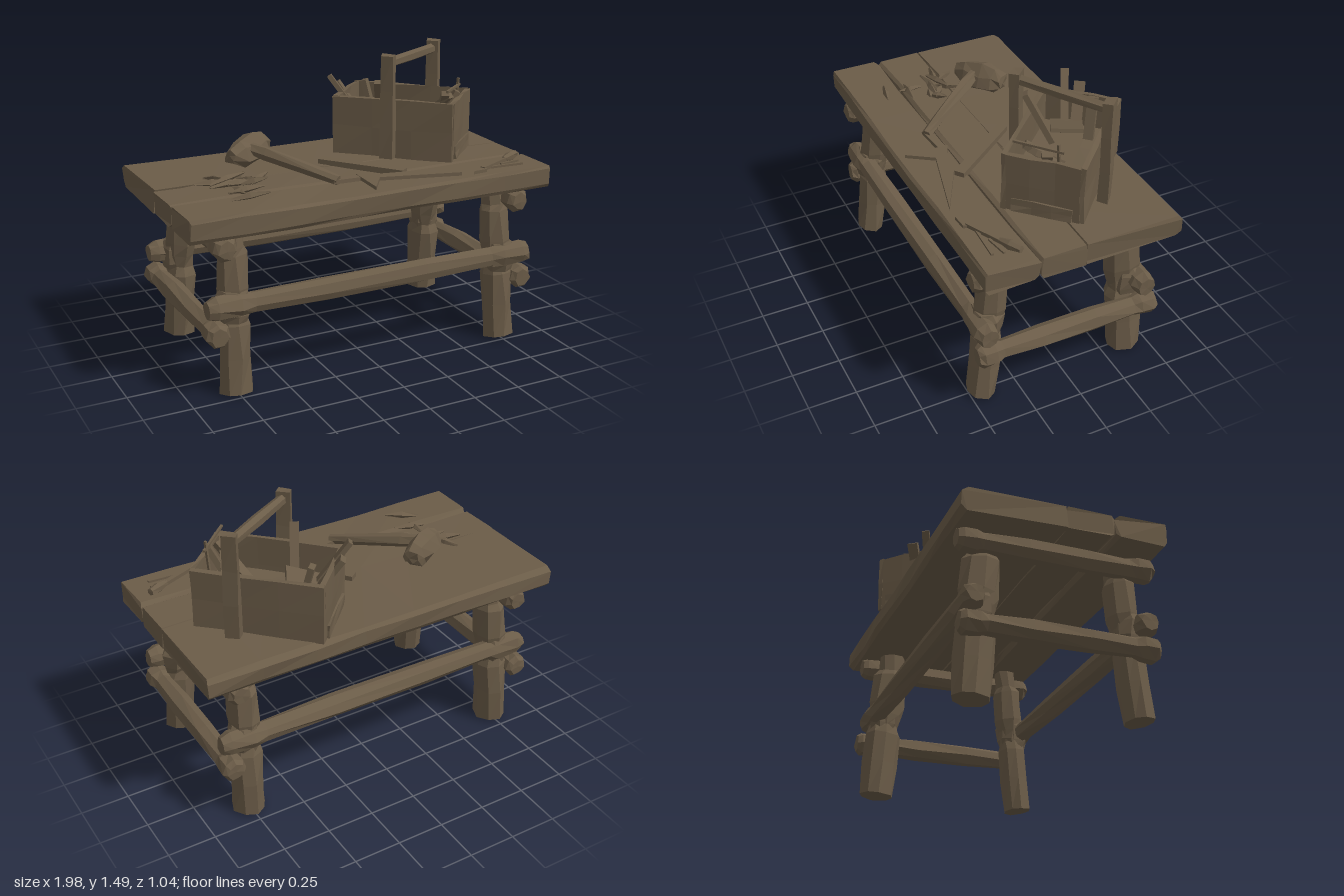
import * as THREE from 'three';

const wood = new THREE.MeshStandardMaterial({ color: 0x6b5c48, flatShading: true });
wood.name = 'weathered wood';

// Position-based noise in -0.5..0.5, so coincident corners move together
function noise(x, y, z, k) {
  const r = (v) => Math.round(v * 500) / 500 + 0.0001;
  const s = Math.sin(r(x) * 12.9898 + r(y) * 78.233 + r(z) * 37.719 + k * 4.7) * 43758.5453;
  return s - Math.floor(s) - 0.5;
}

function roughen(geo, ax, ay, az) {
  const p = geo.attributes.position;
  for (let i = 0; i < p.count; i++) {
    const x = p.getX(i), y = p.getY(i), z = p.getZ(i);
    p.setXYZ(i, x + ax * noise(x, y, z, 1), y + ay * noise(x, y, z, 2), z + az * noise(x, y, z, 3));
  }
  geo.computeVertexNormals();
  return geo;
}

export function createModel() {
  const model = new THREE.Group();
  model.name = 'workbench';

  const add = (name, geo, parent = model) => {
    const m = new THREE.Mesh(geo, wood);
    m.name = name;
    parent.add(m);
    return m;
  };

  // Place a geometry whose length runs along y between two points
  const between = (name, geo, a, b, parent) => {
    const A = new THREE.Vector3(...a), B = new THREE.Vector3(...b);
    const m = add(name, geo, parent);
    m.position.copy(A).add(B).multiplyScalar(0.5);
    m.quaternion.setFromUnitVectors(new THREE.Vector3(0, 1, 0), B.sub(A).normalize());
    return m;
  };
  const dist = (a, b) => Math.hypot(a[0] - b[0], a[1] - b[1], a[2] - b[2]);

  // Hewn log: rings [t, radius] from a to b
  const log = (name, a, b, rings, sides = 8, rough = 0.012, parent = model) => {
    const len = dist(a, b);
    const geo = new THREE.CylinderGeometry(1, 1, 1, sides, rings.length - 1);
    const p = geo.attributes.position;
    for (let i = 0; i < p.count; i++) {
      const ring = rings[Math.round((p.getY(i) + 0.5) * (rings.length - 1))];
      p.setXYZ(i, p.getX(i) * ring[1], (ring[0] - 0.5) * len, p.getZ(i) * ring[1]);
    }
    return between(name, roughen(geo, rough, rough * 0.5, rough), a, b, parent);
  };

  // Straight square stick
  const stick = (name, a, b, w, d = w, parent = model) => {
    const m = add(name, new THREE.BoxGeometry(w, d, dist(a, b)), parent);
    m.position.set((a[0] + b[0]) / 2, (a[1] + b[1]) / 2, (a[2] + b[2]) / 2);
    m.lookAt(...b);
    return m;
  };

  // Flat cut-out lying on the table, outline given as x, z
  const flat = (name, pts, y, h) => {
    const shape = new THREE.Shape(pts.map(([x, z]) => new THREE.Vector2(x, -z)));
    const geo = new THREE.ExtrudeGeometry(shape, { depth: h, bevelEnabled: false });
    geo.rotateX(-Math.PI / 2).translate(0, y, 0);
    return add(name, geo);
  };

  // Table top: three worn planks
  [[-0.51, 0.0], [0.0, 0.236], [0.243, 0.515]].forEach(([z0, z1], i) => {
    const c0 = i === 1 ? 0.004 : 0.022, c1 = i === 0 ? 0.004 : 0.014;
    const s = new THREE.Shape([
      [-z1, 0.83], [-z1 + c1, 0.812], [-z0 - c0, 0.812], [-z0, 0.835],
      [-z0, 0.905], [-z0 - c0, 0.926], [-z1 + c1, 0.926], [-z1, 0.912],
    ].map((q) => new THREE.Vector2(...q)));
    const geo = new THREE.ExtrudeGeometry(s, { depth: 1.97, steps: 7, bevelEnabled: false });
    geo.translate(0, 0, -0.985).rotateY(Math.PI / 2);
    add('tablePlank', roughen(geo, 0.014, 0.008, 0.012));
  });

  // Legs, joint lashings and cross rails on both ends
  const legRings = [[0, 0.08], [0.22, 0.083], [0.42, 0.082], [0.48, 0.066], [0.56, 0.07],
    [0.64, 0.082], [0.84, 0.079], [0.88, 0.064], [1, 0.06]];
  const railRings = [[0, 0.045], [0.025, 0.062], [0.09, 0.062], [0.13, 0.052], [0.35, 0.058],
    [0.65, 0.059], [0.87, 0.052], [0.91, 0.062], [0.975, 0.062], [1, 0.045]];
  for (const side of [-1, 1]) {
    const leg = (name, zFoot, zTop, depth) => {
      const m = log(name, [side * 0.755, 0, zFoot], [side * 0.735, 0.82, zTop], legRings, 8, 0.014);
      m.scale.z = depth;
    };
    leg('frontLeg', 0.435, 0.355, 0.95);
    leg('backLeg', -0.385, -0.325, 1.18);
    for (const z of [0.405, -0.37]) {
      log('lashing', [side * 0.755, 0.37, z], [side * 0.75, 0.52, z],
        [[0, 0.07], [0.25, 0.088], [0.75, 0.085], [1, 0.068]], 7, 0.02);
    }
    log('lowerEndRail', [side * 0.855, 0.325, 0.5], [side * 0.855, 0.325, -0.48], railRings, 7, 0.01);
    log('upperEndRail', [side * 0.81, 0.757, 0.51], [side * 0.81, 0.757, -0.48], railRings, 7, 0.01);
  }
  log('frontRail', [-0.9, 0.455, 0.45], [0.9, 0.455, 0.45], railRings, 8, 0.012);
  log('backRail', [-0.9, 0.455, -0.41], [0.9, 0.455, -0.41], railRings, 8, 0.012);

  // Tool box, turned on the table
  const box = new THREE.Group();
  box.name = 'toolBox';
  box.position.set(0.472, 0.925, -0.143);
  box.rotation.y = -Math.PI / 4;
  model.add(box);
  const wall = (name, w, h, d, x, y, z) => {
    const geo = new THREE.BoxGeometry(w, h, d, w > 0.1 ? 3 : 1, 2, d > 0.1 ? 3 : 1);
    geo.translate(x, y, z);
    add(name, roughen(geo, 0.008, 0.008, 0.008), box);
  };
  for (const s of [-1, 1]) {
    wall('boxLongWall', 0.65, 0.31, 0.025, 0, 0.155, s * 0.19);
    wall('boxEndWall', 0.025, 0.31, 0.36, s * 0.315, 0.155, 0);
    wall('boxEndSkirt', 0.02, 0.07, 0.3, s * 0.328, 0.04, 0);
  }
  wall('boxFloor', 0.62, 0.02, 0.37, 0, 0.12, 0);

  // Carrying handle
  for (const [x, z] of [[0.293, 0.018], [0.718, -0.243]]) {
    const geo = new THREE.BoxGeometry(0.07, 0.55, 0.05, 1, 3, 1);
    const post = add('handlePost', roughen(geo, 0.008, 0.01, 0.008));
    post.position.set(x, 1.205, z);
    post.rotation.y = -Math.PI / 4;
  }
  log('handleBar', [0.29, 1.44, 0.02], [0.72, 1.435, -0.245],
    [[0, 0.026], [0.5, 0.029], [1, 0.026]], 6, 0.004);

  // Loose tools and offcuts inside the box
  stick('offcut', [0.3, 1.06, -0.25], [0.13, 1.32, -0.335], 0.04, 0.025);
  stick('offcut', [0.32, 1.06, -0.3], [0.2, 1.27, -0.385], 0.055, 0.03);
  stick('offcut', [0.34, 1.06, -0.16], [0.27, 1.33, -0.04], 0.045, 0.03);
  stick('offcut', [0.4, 1.06, -0.33], [0.36, 1.27, -0.37], 0.05, 0.03);
  stick('board', [0.26, 1.1, -0.28], [0.41, 1.15, -0.2], 0.16, 0.02);
  stick('offcut', [0.53, 1.07, -0.1], [0.62, 1.25, 0.1], 0.05, 0.03);
  stick('offcut', [0.68, 1.08, -0.1], [0.58, 1.27, 0.12], 0.04, 0.03);
  stick('offcut', [0.6, 1.06, 0.02], [0.69, 1.26, 0.06], 0.05, 0.03);
  stick('thinTool', [0.56, 1.29, 0.17], [0.74, 1.28, 0.0], 0.012);
  stick('thinTool', [0.71, 1.08, 0.0], [0.72, 1.32, 0.02], 0.012);

  // Mallet resting on its head
  log('malletHead', [-0.56, 1.02, -0.06], [-0.31, 1.035, -0.21],
    [[0, 0.035], [0.25, 0.065], [0.6, 0.075], [0.85, 0.065], [1, 0.04]], 7, 0.025);
  log('malletHandle', [-0.44, 1.05, -0.1], [-0.14, 0.95, 0.31],
    [[0, 0.03], [0.2, 0.036], [0.8, 0.03], [1, 0.027]], 6, 0.006);
  stick('malletGrip', [-0.17, 0.945, 0.3], [0.0, 0.935, 0.28], 0.04, 0.02);

  // Flat batten, saw and chisel
  stick('batten', [-0.05, 0.935, -0.08], [0.24, 0.935, 0.3], 0.055, 0.035);
  flat('saw', [[-0.01, 0.25], [-0.02, 0.48], [0.07, 0.35], [0.48, 0.46], [0.22, 0.32], [0.07, 0.29]], 0.93, 0.018);
  stick('chiselBlade', [0.62, 0.94, 0.435], [0.82, 0.945, 0.345], 0.025, 0.02);
  flat('chiselTip', [[0.55, 0.465], [0.63, 0.46], [0.64, 0.42], [0.61, 0.415]], 0.925, 0.02);
  log('chiselHandle', [0.8, 0.945, 0.355], [0.91, 0.95, 0.3],
    [[0, 0.014], [0.5, 0.026], [1, 0.018]], 6, 0.004);
  stick('splinter', [0.68, 0.933, 0.415], [0.87, 0.933, 0.425], 0.014);
  stick('splinter', [0.76, 0.933, 0.39], [0.88, 0.933, 0.37], 0.012);

  // Heap of wood shavings beside the mallet: x, z, length, angle
  [[-0.7, 0.03, 0.17, 0.2], [-0.66, -0.02, 0.14, 0.9], [-0.62, 0.04, 0.2, -0.2], [-0.58, 0.09, 0.2, 0.1],
    [-0.52, 0.07, 0.15, 0.6], [-0.47, 0.1, 0.12, -0.5], [-0.62, 0.08, 0.22, -0.1], [-0.55, 0.01, 0.14, -0.8],
    [-0.51, 0.13, 0.13, 0.3], [-0.62, 0.2, 0.13, 1.5], [-0.59, 0.22, 0.18, 0.1], [-0.62, 0.34, 0.19, 0.25],
  ].forEach(([x, z, l, a], i) => {
    const dx = Math.cos(a) * l / 2, dz = Math.sin(a) * l / 2, lift = 0.012 * (i % 3);
    log('shaving', [x - dx, 0.932, z - dz], [x + dx, 0.94 + lift, z + dz],
      [[0, 0.006], [0.5, 0.018], [1, 0.004]], 4, 0.006);
  });

  return model;
}
